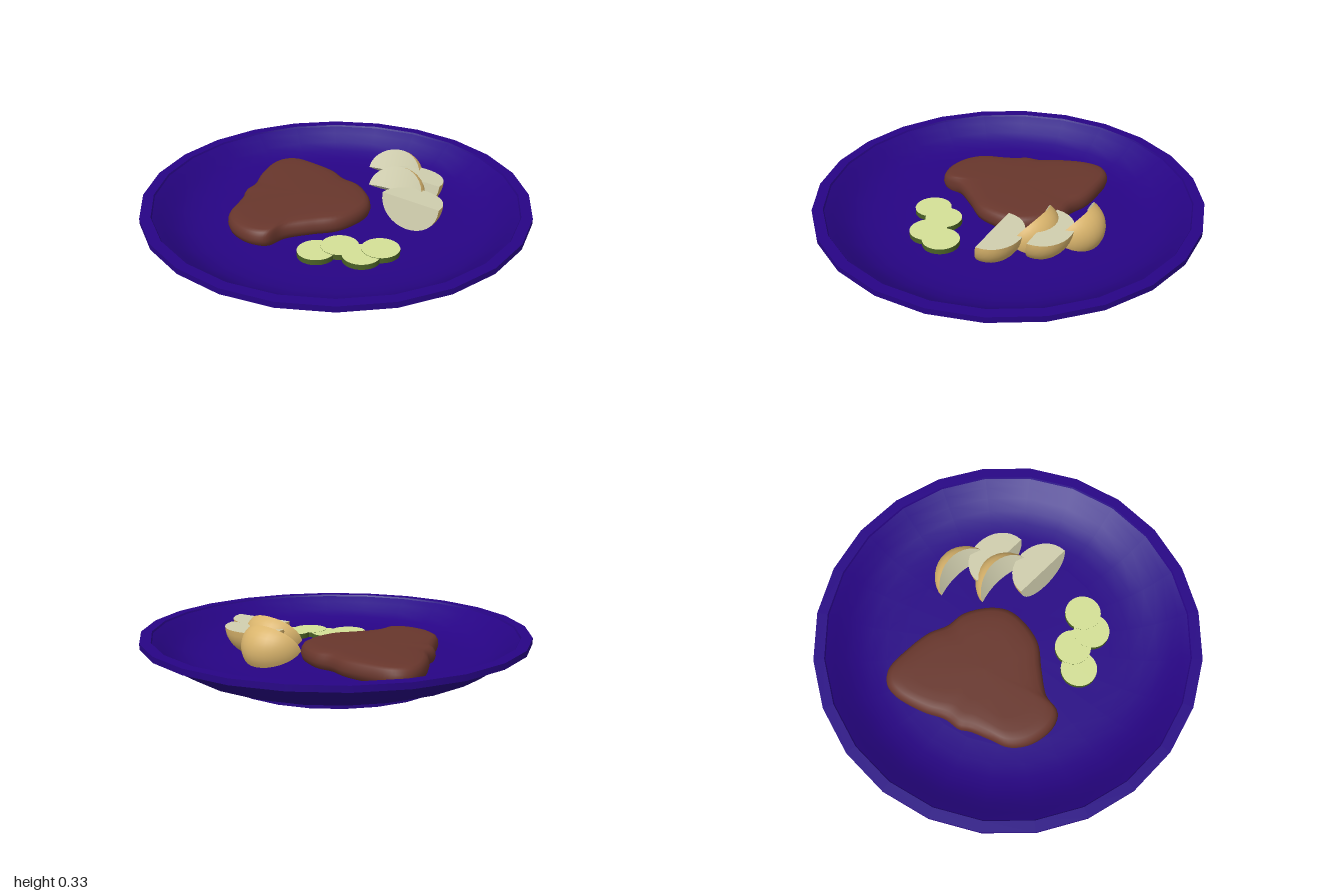
import * as THREE from 'three';

const material = (name, color, side = THREE.FrontSide) => {
  const m = new THREE.MeshStandardMaterial({ color, side });
  m.name = name;
  return m;
};
const plateBlue = material('plate indigo', 0x270485);
const meatBrown = material('meat brown', 0x68362c);
const potatoSkin = material('potato skin', 0xd9b46c, THREE.DoubleSide);
const potatoFlesh = material('potato flesh', 0xd0ceae, THREE.DoubleSide);
const cucumberFlesh = material('cucumber flesh', 0xd4e096);
const cucumberPeel = material('cucumber peel', 0x4a6026);

const v2 = (p) => new THREE.Vector2(p[0], p[1]);

function part(name, geometry, mat, parent) {
  const mesh = new THREE.Mesh(geometry, mat);
  mesh.name = name;
  parent.add(mesh);
  return mesh;
}

// Plate: one lathe per smooth section, so the edges between them stay sharp
function makePlate() {
  const plate = new THREE.Group();
  plate.name = 'plate';
  const sections = {
    baseCentre: [[0, 0.03], [0.27, 0.03]],
    baseStep: [[0.27, 0.03], [0.28, 0.024]],
    baseRecess: [[0.28, 0.024], [0.565, 0.024]],
    footInside: [[0.565, 0.024], [0.575, 0]],
    footBottom: [[0.575, 0], [0.6, 0]],
    footOutside: [[0.6, 0], [0.6, 0.03]],
    underside: [[0.6, 0.03], [0.71, 0.053], [0.79, 0.083], [0.87, 0.133], [0.92, 0.178], [0.96, 0.198], [1, 0.205]],
    rimEdge: [[1, 0.205], [1, 0.235]],
    rimTop: [[1, 0.235], [0.945, 0.235]],
    rimLip: [[0.945, 0.235], [0.94, 0.226]],
    bowl: [[0.94, 0.226], [0.9, 0.199], [0.85, 0.161], [0.79, 0.129], [0.72, 0.108], [0.64, 0.098], [0.54, 0.095], [0, 0.094]],
  };
  for (const [name, pts] of Object.entries(sections))
    part(name, new THREE.LatheGeometry(pts.map(v2), 24), plateBlue, plate);
  return plate;
}

// Steak: a closed outline lofted through inset rings
function makeSteak() {
  const outline = [
    [0.03, -0.665], [0.1, -0.63], [0.165, -0.5], [0.205, -0.37], [0.208, -0.26], [0.238, -0.155],
    [0.21, 0], [0.14, 0.09], [-0.05, 0.145], [-0.2, 0.105], [-0.35, 0.07], [-0.45, 0.088],
    [-0.515, 0.03], [-0.548, -0.1], [-0.52, -0.21], [-0.44, -0.29], [-0.37, -0.36],
    [-0.335, -0.41], [-0.26, -0.455], [-0.18, -0.545], [-0.05, -0.645],
  ].map(([x, z]) => new THREE.Vector3(x, 0, z));
  const n = 120;
  const loop = new THREE.CatmullRomCurve3(outline, true).getPoints(n).slice(0, n);
  const centre = new THREE.Vector3(-0.1, 0, -0.18);
  const rings = [[0.03, 0.09], [0.008, 0.105], [0, 0.13], [0.004, 0.155], [0.016, 0.173],
    [0.036, 0.183], [0.08, 0.188], [0.15, 0.19]]; // inset, height
  const pos = [], idx = [];
  for (const [inset, y] of rings) {
    for (const p of loop) {
      const d = centre.clone().sub(p).setLength(inset);
      pos.push(p.x + d.x, y, p.z + d.z);
    }
  }
  const top = pos.length / 3;
  pos.push(centre.x, 0.191, centre.z);
  for (let j = 0; j < n; j++) {
    const k = (j + 1) % n;
    for (let i = 0; i < rings.length - 1; i++) {
      const a = i * n + j, b = i * n + k, c = a + n, d = b + n;
      idx.push(a, c, b, b, c, d);
    }
    const last = (rings.length - 1) * n;
    idx.push(last + j, top, last + k);
  }
  const g = new THREE.BufferGeometry();
  g.setAttribute('position', new THREE.Float32BufferAttribute(pos, 3));
  g.setIndex(idx);
  g.computeVertexNormals();
  return g;
}

// Potato wedge: long axis on z, skin sweeping between two angles, two flat cut faces;
// bow bends the middle of the wedge sideways
function makeWedge(name, [x, y, z], { from, to, radius, yaw, bow }) {
  const wedge = new THREE.Group();
  wedge.name = name;
  const half = 0.167, steps = 16;
  const profile = [];
  for (let i = 0; i <= steps; i++) {
    const a = -Math.PI / 2 + (Math.PI * i) / steps;
    profile.push(new THREE.Vector2(radius * Math.pow(Math.max(0, Math.cos(a)), 0.9), half * Math.sin(a)));
  }
  const bend = (g) => {
    const p = g.attributes.position;
    for (let i = 0; i < p.count; i++) p.setX(i, p.getX(i) + bow * (1 - (p.getZ(i) / half) ** 2));
    g.computeVertexNormals();
    return g;
  };
  const start = THREE.MathUtils.degToRad(from), end = THREE.MathUtils.degToRad(to);
  const skin = new THREE.LatheGeometry(profile, 10, start + Math.PI / 2, end - start);
  part('skin', bend(skin.rotateX(Math.PI / 2)), potatoSkin, wedge);
  for (const angle of [start, end]) {
    // A strip from the wedge's axis out to its skin
    const cut = new THREE.PlaneGeometry(1, 1, 1, steps);
    const p = cut.attributes.position;
    for (let i = 0; i < p.count; i++) {
      const edge = profile[Math.floor(i / 2)], r = i % 2 ? edge.x : 0;
      p.setXYZ(i, r * Math.cos(angle), r * Math.sin(angle), edge.y);
    }
    part('cutFace', bend(cut), potatoFlesh, wedge);
  }
  wedge.position.set(x, y, z);
  wedge.rotation.y = yaw;
  return wedge;
}

// Cucumber slice: pale top and bottom, green peel
function makeSlice(x, y, z) {
  const g = new THREE.CylinderGeometry(0.095, 0.095, 0.028, 28);
  const slice = new THREE.Mesh(g, [cucumberPeel, cucumberFlesh, cucumberFlesh]);
  slice.name = 'cucumberSlice';
  slice.position.set(x, y, z);
  return slice;
}

export function createModel() {
  const model = new THREE.Group();
  model.name = 'dinnerPlate';
  model.add(makePlate());
  part('steak', makeSteak(), meatBrown, model);

  // Two wedges lying low, two leaning on them
  const low = { from: -100, to: -2, radius: 0.152, yaw: 0.4, bow: 0 };
  const leaning = { from: -35, to: 66, radius: 0.13, yaw: 0.34, bow: 0.035 };
  model.add(
    makeWedge('lowWedge', [0.253, 0.27, 0.305], low),
    makeWedge('lowWedge', [0.395, 0.282, 0.115], low),
    makeWedge('leaningWedge', [0.287, 0.216, 0.11], leaning),
    makeWedge('leaningWedge', [0.405, 0.216, -0.075], leaning),
  );

  // Two overlapping pairs of slices
  for (const [x, y, z] of [[-0.275, 0.12, 0.285], [-0.155, 0.122, 0.305], [-0.11, 0.123, 0.433], [0, 0.125, 0.433]])
    model.add(makeSlice(x, y, z));
  return model;
}
